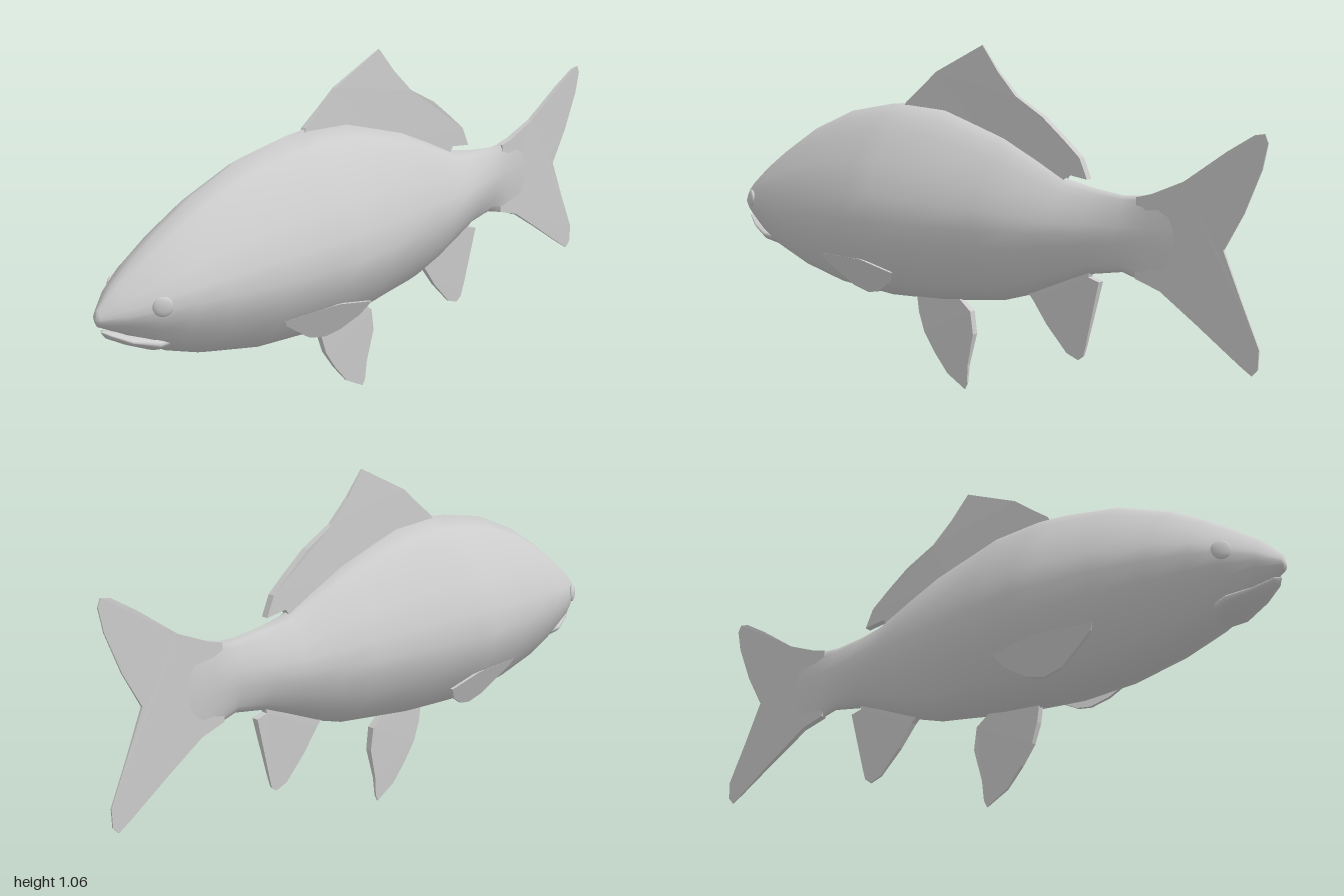
import * as THREE from 'three';

const grey = new THREE.MeshStandardMaterial({ color: 0xcccccc, side: THREE.DoubleSide });

// Half cross-section from back ridge to belly: [width, height], mirrored for the other flank
const HALF = [[0, 1], [0.24, 0.9], [0.45, 0.77], [0.77, 0.49], [0.93, 0.22], [1, 0], [0.92, -0.24], [0.8, -0.48], [0.52, -0.78], [0.27, -0.92], [0, -1]];
const RING = [...HALF, ...HALF.slice(1, -1).reverse().map(([w, h]) => [-w, h])];

// Skin over stations of [x, top, middle, bottom, half width]
function loft(stations) {
  const pos = [], index = [], n = RING.length;
  for (const [x, top, mid, bottom, width] of stations)
    for (const [w, h] of RING) pos.push(x, mid + h * (h > 0 ? top - mid : mid - bottom), w * width);
  for (let i = 0; i < stations.length - 1; i++)
    for (let j = 0; j < n; j++) {
      const a = i * n + j, b = i * n + (j + 1) % n;
      index.push(a, b, a + n, b, b + n, a + n);
    }
  const g = new THREE.BufferGeometry();
  g.setAttribute('position', new THREE.Float32BufferAttribute(pos, 3));
  g.setIndex(index);
  g.computeVertexNormals();
  return g;
}

// Thin plate from an outline; zRule(x, y, side) gives each face's depth, side being -1 or 1
function finGeometry(outline, zRule) {
  const shape = new THREE.Shape(outline.map(([x, y]) => new THREE.Vector2(x, y)));
  const g = new THREE.ExtrudeGeometry(shape, { depth: 2, bevelEnabled: false });
  g.translate(0, 0, -1);
  const p = g.attributes.position;
  for (let i = 0; i < p.count; i++) p.setZ(i, zRule(p.getX(i), p.getY(i), p.getZ(i)));
  g.computeVertexNormals();
  return g;
}

// Thickness that thins from root to tip
const taper = (value, root, tip) => THREE.MathUtils.clamp(THREE.MathUtils.mapLinear(value, root, tip, 0.011, 0.002), 0.002, 0.011);

export function createModel() {
  const model = new THREE.Group();
  const add = (name, geometry) => {
    const mesh = new THREE.Mesh(geometry, grey);
    mesh.name = name;
    model.add(mesh);
    return mesh;
  };

  // Body, from the snout to the tail root
  add('body', loft([
    [-1, 0.505, 0.5, 0.495, 0],
    [-0.995, 0.53, 0.505, 0.482, 0.018],
    [-0.94, 0.59, 0.515, 0.452, 0.068],
    [-0.86, 0.65, 0.525, 0.395, 0.12],
    [-0.78, 0.705, 0.53, 0.35, 0.15],
    [-0.67, 0.77, 0.53, 0.31, 0.18],
    [-0.5, 0.838, 0.53, 0.272, 0.213],
    [-0.33, 0.868, 0.53, 0.26, 0.225],
    [-0.25, 0.875, 0.53, 0.264, 0.223],
    [-0.1, 0.865, 0.53, 0.272, 0.208],
    [0.13, 0.795, 0.53, 0.302, 0.16],
    [0.24, 0.745, 0.53, 0.335, 0.13],
    [0.36, 0.685, 0.535, 0.385, 0.095],
    [0.45, 0.667, 0.54, 0.42, 0.064],
    [0.55, 0.655, 0.545, 0.437, 0.036],
    [0.63, 0.66, 0.545, 0.415, 0.018],
    [0.72, 0.69, 0.54, 0.38, 0.009],
    [0.74, 0.54, 0.54, 0.54, 0],
  ]));

  // Lower jaw, parted from the snout by the mouth slit
  add('lowerJaw', loft([
    [-0.985, 0.466, 0.464, 0.462, 0],
    [-0.97, 0.465, 0.457, 0.442, 0.025],
    [-0.92, 0.447, 0.43, 0.412, 0.052],
    [-0.85, 0.44, 0.41, 0.378, 0.08],
    [-0.78, 0.42, 0.4, 0.36, 0.06],
  ]));

  // Fins along the centre plane
  add('dorsalFin', finGeometry(
    [[-0.27, 0.86], [-0.26, 0.878], [-0.2, 0.925], [-0.14, 0.975], [0.04, 1.06], [0.1, 0.985], [0.17, 0.915], [0.27, 0.86],
      [0.35, 0.797], [0.405, 0.75], [0.432, 0.69], [0.36, 0.7], [0.34, 0.67], [0.1, 0.76]],
    (x, y, s) => s * taper(y, 0.85, 1.06)));
  add('pelvicFin', finGeometry(
    [[-0.22, 0.29], [-0.21, 0.22], [-0.19, 0.16], [-0.15, 0.1], [-0.1, 0.04], [-0.03, 0.0], [-0.02, 0.02],
      [-0.015, 0.08], [0.01, 0.18], [0.0, 0.25], [-0.05, 0.29]],
    (x, y, s) => s * taper(y, 0.2, 0)));
  add('analFin', finGeometry(
    [[0.2, 0.36], [0.24, 0.32], [0.29, 0.25], [0.36, 0.175], [0.4, 0.16], [0.42, 0.175], [0.43, 0.21], [0.477, 0.4],
      [0.44, 0.41], [0.45, 0.45], [0.3, 0.42]],
    (x, y, s) => s * taper(y, 0.33, 0.15)));
  add('tailFin', finGeometry(
    [[0.6, 0.655], [0.65, 0.668], [0.75, 0.71], [0.88, 0.8], [0.96, 0.848], [0.99, 0.853], [1, 0.83], [0.985, 0.76],
      [0.935, 0.64], [0.875, 0.535], [0.93, 0.41], [0.99, 0.28], [0.988, 0.225], [0.97, 0.205], [0.93, 0.23],
      [0.8, 0.32], [0.68, 0.4], [0.6, 0.425]],
    (x, y, s) => s * taper(x, 0.62, 0.95)));

  // Paired parts: pectoral fins lying along the flanks, and eyes
  const pectoral = [[-0.49, 0.4], [-0.3, 0.402], [-0.17, 0.375], [-0.2, 0.335], [-0.26, 0.3], [-0.31, 0.29], [-0.37, 0.305], [-0.48, 0.38]];
  for (const [label, m] of [['left', 1], ['right', -1]]) {
    add(label + 'PectoralFin', finGeometry(pectoral,
      (x, y, s) => m * (0.162 + 0.09 * (x + 0.49) + 0.45 * (y - 0.4)) + s * 0.005));
    const eye = add(label + 'Eye', new THREE.SphereGeometry(0.028, 20, 14));
    eye.scale.z = 0.35;
    eye.position.set(-0.865, 0.535, 0.113 * m);
    eye.rotation.y = -0.5 * m;
  }
  return model;
}
